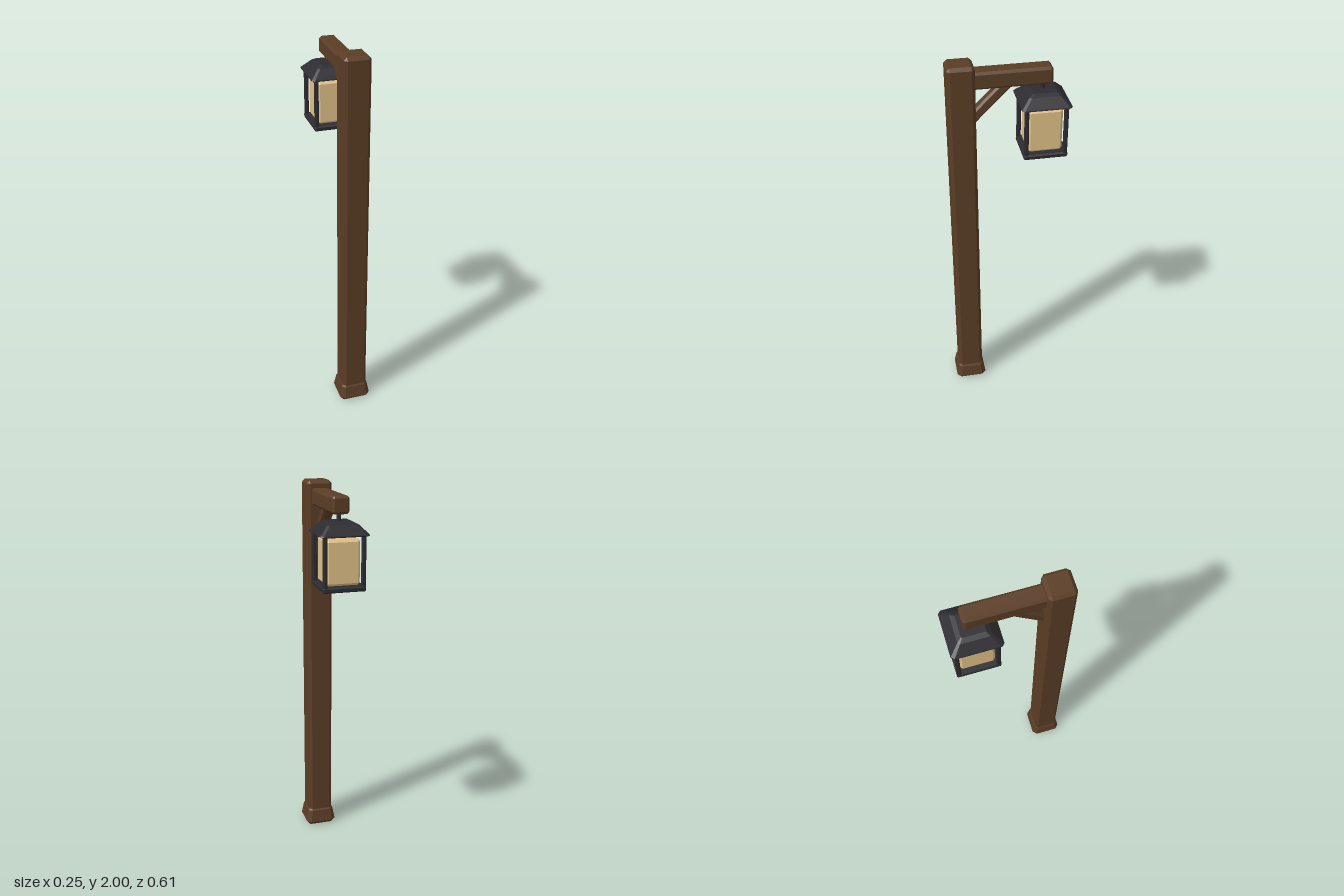
import * as THREE from 'three';

const material = (color) => new THREE.MeshStandardMaterial({ color, flatShading: true });

// Rectangle with cut corners, counter-clockwise seen from above
function ring([y, hx, hz, c]) {
  return [
    [hx, hz - c], [hx, c - hz], [hx - c, -hz], [c - hx, -hz],
    [-hx, c - hz], [-hx, hz - c], [c - hx, hz], [hx - c, hz],
  ].map(([x, z]) => new THREE.Vector3(x, y, z));
}

// Closed solid through rings [y, halfX, halfZ, cornerCut], bottom to top
function loft(sections) {
  const rings = sections.map(ring);
  const points = [];
  const tri = (a, b, c) => {
    const area = b.clone().sub(a).cross(c.clone().sub(a)).length();
    if (area > 1e-8) points.push(a, b, c);
  };
  for (let r = 0; r < rings.length - 1; r++) {
    const lo = rings[r], hi = rings[r + 1];
    for (let i = 0; i < 8; i++) {
      const j = (i + 1) % 8;
      tri(lo[i], lo[j], hi[j]);
      tri(lo[i], hi[j], hi[i]);
    }
  }
  const bottom = rings[0], top = rings[rings.length - 1];
  for (let i = 1; i < 7; i++) {
    tri(top[0], top[i], top[i + 1]);
    tri(bottom[0], bottom[i + 1], bottom[i]);
  }
  const geometry = new THREE.BufferGeometry().setFromPoints(points);
  geometry.computeVertexNormals();
  return geometry;
}

// Box with every edge chamfered by b, centred on the origin
function chamferBox(w, h, d, b) {
  const x = w / 2, y = h / 2, z = d / 2;
  return loft([
    [-y, x - b, z - b, 0], [b - y, x, z, b],
    [y - b, x, z, b], [y, x - b, z - b, 0],
  ]);
}

export function createModel() {
  const model = new THREE.Group();
  model.name = 'lampPost';
  const wood = material(0x5a3d25);
  const iron = material(0x2c2c31);
  const glow = material(0xe0c088);

  const add = (parent, name, geometry, mat, x, y, z) => {
    const mesh = new THREE.Mesh(geometry, mat);
    mesh.name = name;
    mesh.position.set(x, y, z);
    parent.add(mesh);
    return mesh;
  };

  // Timber post and its flared foot
  const postZ = 0.22;
  add(model, 'post', chamferBox(0.134, 1.98, 0.134, 0.016), wood, 0, 1.01, postZ);
  add(model, 'foot', loft([
    [0, 0.067, 0.067, 0.006], [0.02, 0.085, 0.085, 0.022],
    [0.088, 0.073, 0.073, 0.019], [0.1, 0.064, 0.064, 0.012],
  ]), wood, 0, 0, postZ);

  // Horizontal arm and diagonal brace, both sunk into the post
  add(model, 'arm', chamferBox(0.088, 0.088, 0.425, 0.012), wood, 0, 1.917, -0.0125);
  const brace = add(model, 'brace', chamferBox(0.056, 0.31, 0.052, 0.01), wood, 0, 1.8, 0.08);
  brace.rotation.x = -Math.PI / 4;

  // Hanging lantern
  const lantern = new THREE.Group();
  lantern.name = 'lantern';
  lantern.position.z = -0.183;
  model.add(lantern);

  add(lantern, 'hanger', new THREE.CylinderGeometry(0.011, 0.011, 0.06, 8), iron, 0, 1.855, 0);
  add(lantern, 'roof', loft([
    [1.774, 0.115, 0.115, 0.008], [1.779, 0.124, 0.124, 0.014],
    [1.784, 0.122, 0.122, 0.014], [1.827, 0.08, 0.08, 0.01],
    [1.839, 0.058, 0.058, 0.004],
  ]), iron, 0, 0, 0);
  add(lantern, 'basePlate', chamferBox(0.22, 0.026, 0.22, 0.006), iron, 0, 1.518, 0);
  for (const x of [-1, 1]) {
    for (const z of [-1, 1]) {
      add(lantern, 'cornerBar', chamferBox(0.021, 0.265, 0.021, 0.004), iron, x * 0.0975, 1.652, z * 0.0975);
    }
  }
  add(lantern, 'glass', chamferBox(0.172, 0.226, 0.172, 0.012), glow, 0, 1.646, 0);

  return model;
}
